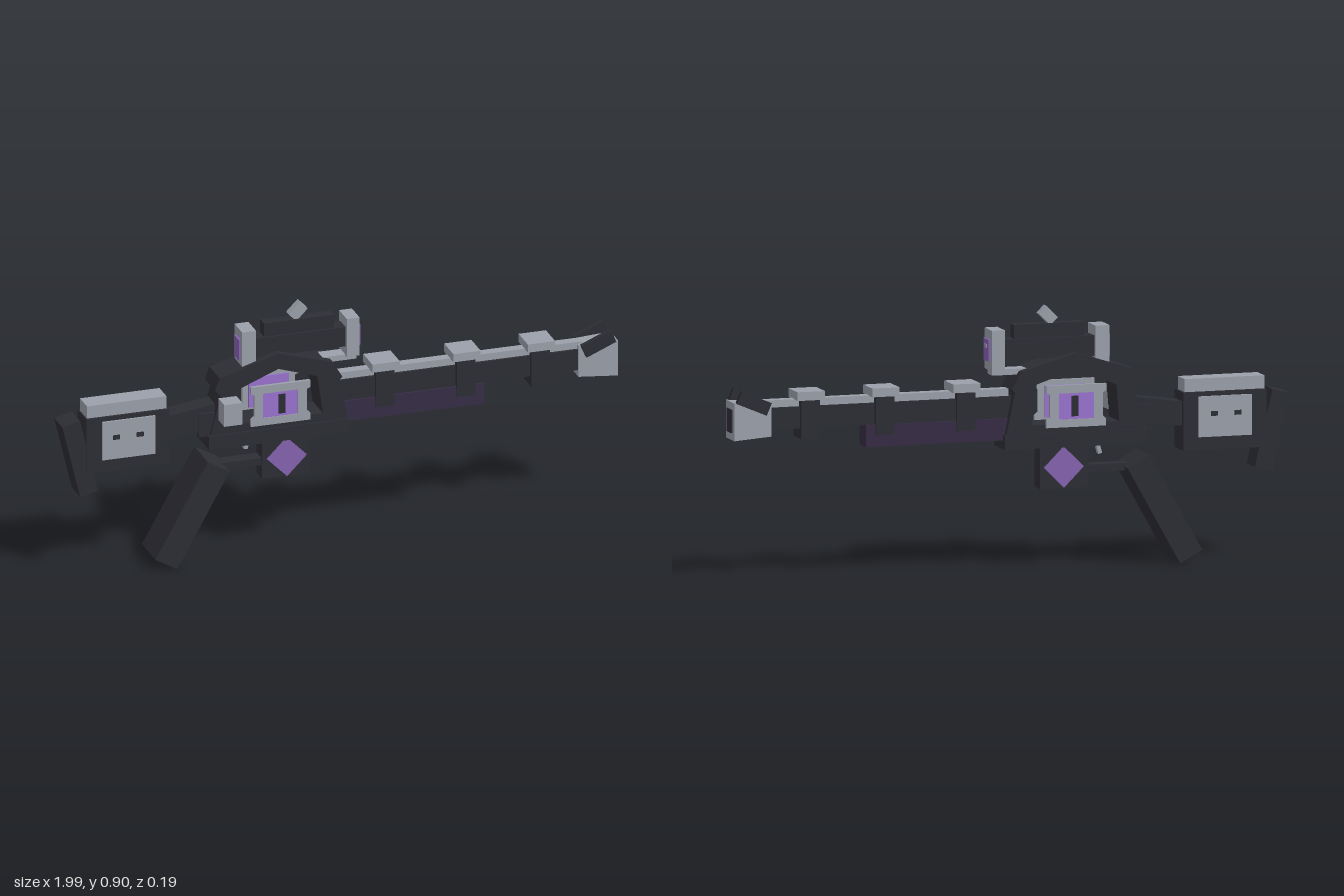
import * as THREE from 'three';

export function createModel() {
  const root = new THREE.Group();
  root.name = 'blockRifle';
  const mat = (name, color) => {
    const m = new THREE.MeshStandardMaterial({ color });
    m.name = name;
    return m;
  };
  const dark = mat('darkMetal', 0x2d2d35);
  const grey = mat('lightGrey', 0x9ba0aa);
  const violet = mat('violet', 0x8562ae);
  const bright = mat('brightViolet', 0x9a72d0);
  const plum = mat('darkPlum', 0x362c44);

  // Everything is modelled around z = 0 of this group, then shifted to the gun's own plane
  const body = new THREE.Group();
  body.name = 'rifle';
  body.position.z = -0.022;
  root.add(body);

  const add = (name, geo, material) => {
    const m = new THREE.Mesh(geo, material);
    m.name = name;
    body.add(m);
    return m;
  };
  // Box from x and y ranges, depth and z centre
  const box = (name, material, x0, x1, y0, y1, depth, z = 0) => {
    const m = add(name, new THREE.BoxGeometry(x1 - x0, y1 - y0, depth), material);
    m.position.set((x0 + x1) / 2, (y0 + y1) / 2, z);
    return m;
  };
  // Box turned about z
  const tilted = (name, material, x, y, w, h, depth, angle, z = 0) => {
    const m = box(name, material, x - w / 2, x + w / 2, y - h / 2, y + h / 2, depth, z);
    m.rotation.z = angle;
    return m;
  };
  const path = (Type, pts) => new Type(pts.map(([x, y]) => new THREE.Vector2(x, y)));
  const plate = (name, material, outline, hole, depth, z = 0) => {
    const shape = path(THREE.Shape, outline);
    if (hole) shape.holes.push(path(THREE.Path, hole));
    const geo = new THREE.ExtrudeGeometry(shape, { depth, bevelEnabled: false });
    geo.translate(0, 0, z - depth / 2);
    return add(name, geo, material);
  };

  // Stock
  tilted('buttPlate', dark, -0.937, 0.447, 0.065, 0.272, 0.09, 0.235);
  box('stockBody', dark, -0.915, -0.617, 0.39, 0.59, 0.094);
  box('stockTopRail', grey, -0.91, -0.625, 0.59, 0.635, 0.075);
  plate('stockConnector', dark,
    [[-0.62, 0.475], [-0.45, 0.485], [-0.45, 0.582], [-0.62, 0.558]], null, 0.07);
  box('receiverRear', dark, -0.51, -0.44, 0.47, 0.555, 0.09);

  // Receiver: open arch on a base
  plate('receiverArch', dark,
    [[-0.475, 0.47], [0.02, 0.47], [-0.012, 0.62], [0, 0.63], [-0.035, 0.69], [-0.23, 0.747],
      [-0.44, 0.682], [-0.457, 0.64], [-0.437, 0.615]],
    [[-0.385, 0.505], [-0.375, 0.632], [-0.23, 0.69], [-0.09, 0.645], [-0.07, 0.505]], 0.111);
  box('receiverBase', dark, -0.48, 0.025, 0.425, 0.475, 0.123);
  box('boltHandle', grey, -0.445, -0.38, 0.53, 0.61, 0.064, 0.087);

  // Details mirrored on both flanks
  for (const s of [-1, 1]) {
    box('stockPanel', grey, -0.86, -0.67, 0.435, 0.575, 0.008, s * 0.05);
    for (const x of [-0.81, -0.725])
      box('stockPanelPin', dark, x - 0.012, x + 0.012, 0.507, 0.523, 0.004, s * 0.0555);

    plate('windowFrame', grey,
      [[-0.333, 0.495], [-0.12, 0.495], [-0.12, 0.52], [-0.132, 0.53], [-0.132, 0.61],
        [-0.12, 0.615], [-0.12, 0.64], [-0.333, 0.64], [-0.333, 0.615], [-0.321, 0.61],
        [-0.321, 0.53], [-0.333, 0.52]],
      [[-0.29, 0.522], [-0.29, 0.612], [-0.165, 0.612], [-0.165, 0.522]], 0.012, s * 0.065);
    box('windowGlow', bright, -0.29, -0.165, 0.522, 0.612, 0.008, s * 0.064);
    box('windowBacking', bright, -0.3, -0.155, 0.512, 0.622, 0.006, s * 0.056);
    box('windowSlot', dark, -0.234, -0.21, 0.532, 0.602, 0.004, s * 0.07);

    tilted('magazineDiamond', violet, -0.193, 0.353, 0.1, 0.1, 0.008, Math.PI / 4, s * 0.035);
    tilted('muzzleWing', dark, 0.92, 0.627, 0.115, 0.046, 0.02, 0.4, s * 0.044);
  }

  // Magazine, trigger and grip
  box('magazine', dark, -0.28, -0.11, 0.28, 0.425, 0.063);
  tilted('trigger', grey, -0.327, 0.41, 0.014, 0.042, 0.02, -0.25);
  box('gripLink', dark, -0.44, -0.27, 0.33, 0.355, 0.05);
  tilted('grip', dark, -0.543, 0.197, 0.09, 0.385, 0.147, -0.51);

  // Barrel, fore-end and rings
  box('barrel', dark, -0.02, 0.87, 0.53, 0.605, 0.055);
  box('barrelTopRail', grey, 0, 0.87, 0.605, 0.63, 0.036);
  box('foreEnd', plum, 0, 0.515, 0.455, 0.53, 0.07);
  for (const x of [0.158, 0.448, 0.715]) {
    box('barrelRing', dark, x - 0.033, x + 0.033, 0.495, 0.63, 0.084);
    box('ringCap', grey, x - 0.049, x + 0.049, 0.628, 0.658, 0.1);
  }

  // Muzzle, flaring towards its open end
  const flare = new THREE.BoxGeometry(0.137, 0.13, 0.095);
  const p = flare.attributes.position;
  for (let i = 0; i < p.count; i++)
    if (p.getX(i) < 0) {
      p.setY(i, p.getY(i) * 0.88);
      p.setZ(i, p.getZ(i) * 0.72);
    }
  flare.computeVertexNormals();
  add('muzzle', flare, grey).position.set(0.921, 0.565, 0);
  box('muzzleBore', dark, 0.988, 0.994, 0.525, 0.605, 0.053);

  // Scope
  box('scopeBody', dark, -0.31, 0.025, 0.73, 0.8, 0.06);
  box('scopeTop', dark, -0.27, -0.02, 0.8, 0.848, 0.042);
  box('scopeRearHousing', grey, -0.355, -0.305, 0.695, 0.835, 0.083);
  box('scopeFrontHousing', grey, 0.02, 0.066, 0.695, 0.835, 0.083);
  box('scopeFrontLens', violet, 0.066, 0.074, 0.727, 0.802, 0.052);
  box('scopeRearLens', violet, -0.362, -0.355, 0.727, 0.802, 0.052);
  box('scopeLensGlint', grey, 0.074, 0.076, 0.772, 0.785, 0.024);
  box('scopeMount', grey, -0.1, 0.06, 0.678, 0.698, 0.052);
  tilted('scopeSight', grey, -0.145, 0.874, 0.038, 0.058, 0.03, -Math.PI / 4);

  return root;
}
